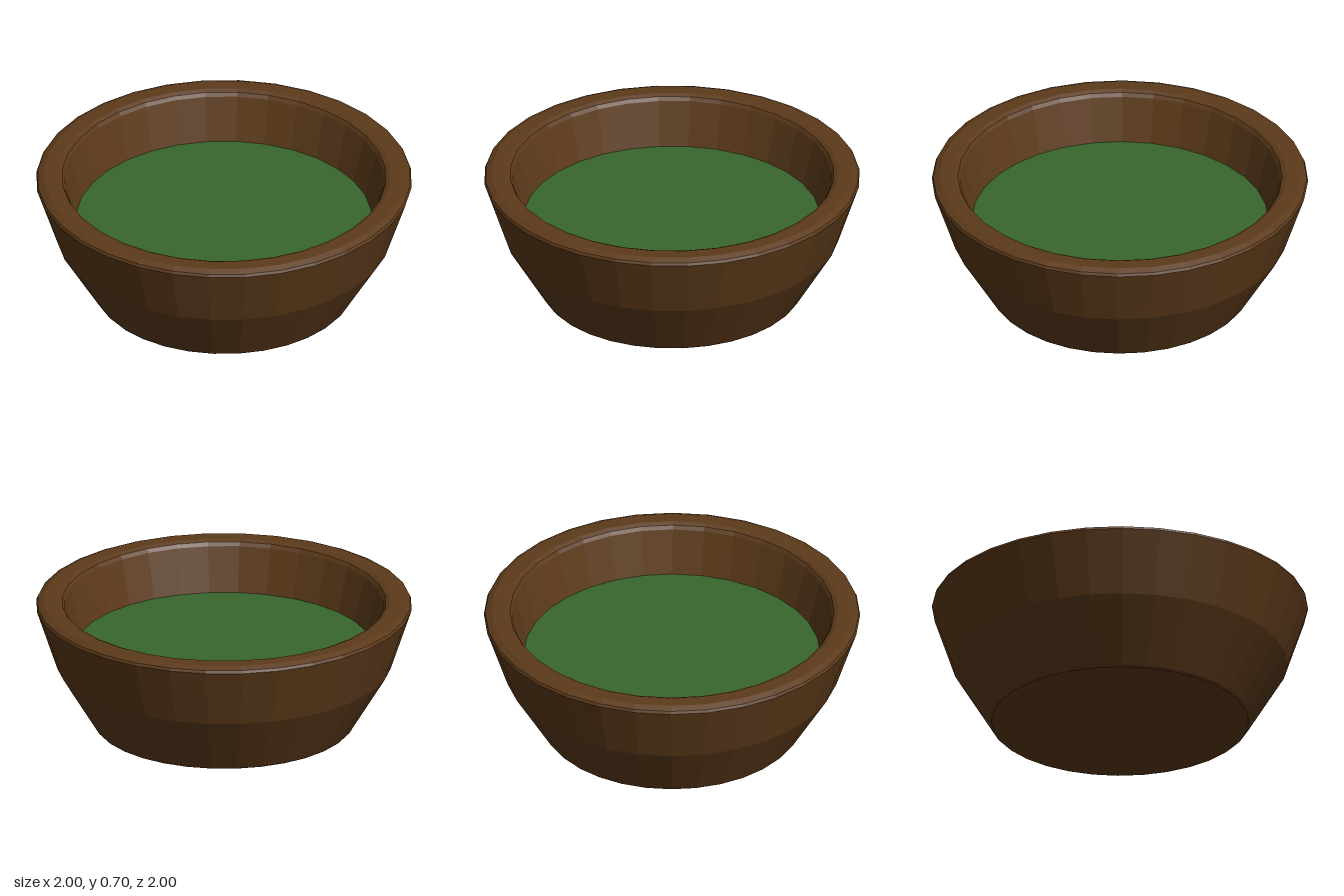
import * as THREE from 'three';

const SIDES = 32;

export function createModel() {
  const group = new THREE.Group();
  group.name = 'planterBowl';

  // Wall profile: base, outer wall, bevelled rim, inner wall and floor
  const profile = [
    [0, 0], [0.665, 0], [0.685, 0.004], [0.695, 0.015],
    [0.89, 0.34], [1, 0.67], [0.993, 0.685], [0.96, 0.7],
    [0.885, 0.7], [0.862, 0.69], [0.85, 0.67],
    [0.763, 0.34], [0.62, 0.1], [0, 0.1],
  ].map(([r, y]) => new THREE.Vector2(r, y));
  const bowl = new THREE.Mesh(
    new THREE.LatheGeometry(profile, SIDES),
    new THREE.MeshStandardMaterial({ color: 0x5c3a1a, flatShading: true })
  );
  bowl.name = 'bowl';
  group.add(bowl);

  // Flat green filling, set below the rim
  const filling = new THREE.Mesh(
    new THREE.CircleGeometry(0.787, SIDES).rotateX(-Math.PI / 2),
    new THREE.MeshStandardMaterial({ color: 0x38662d })
  );
  filling.name = 'filling';
  filling.position.y = 0.43;
  group.add(filling);

  return group;
}
